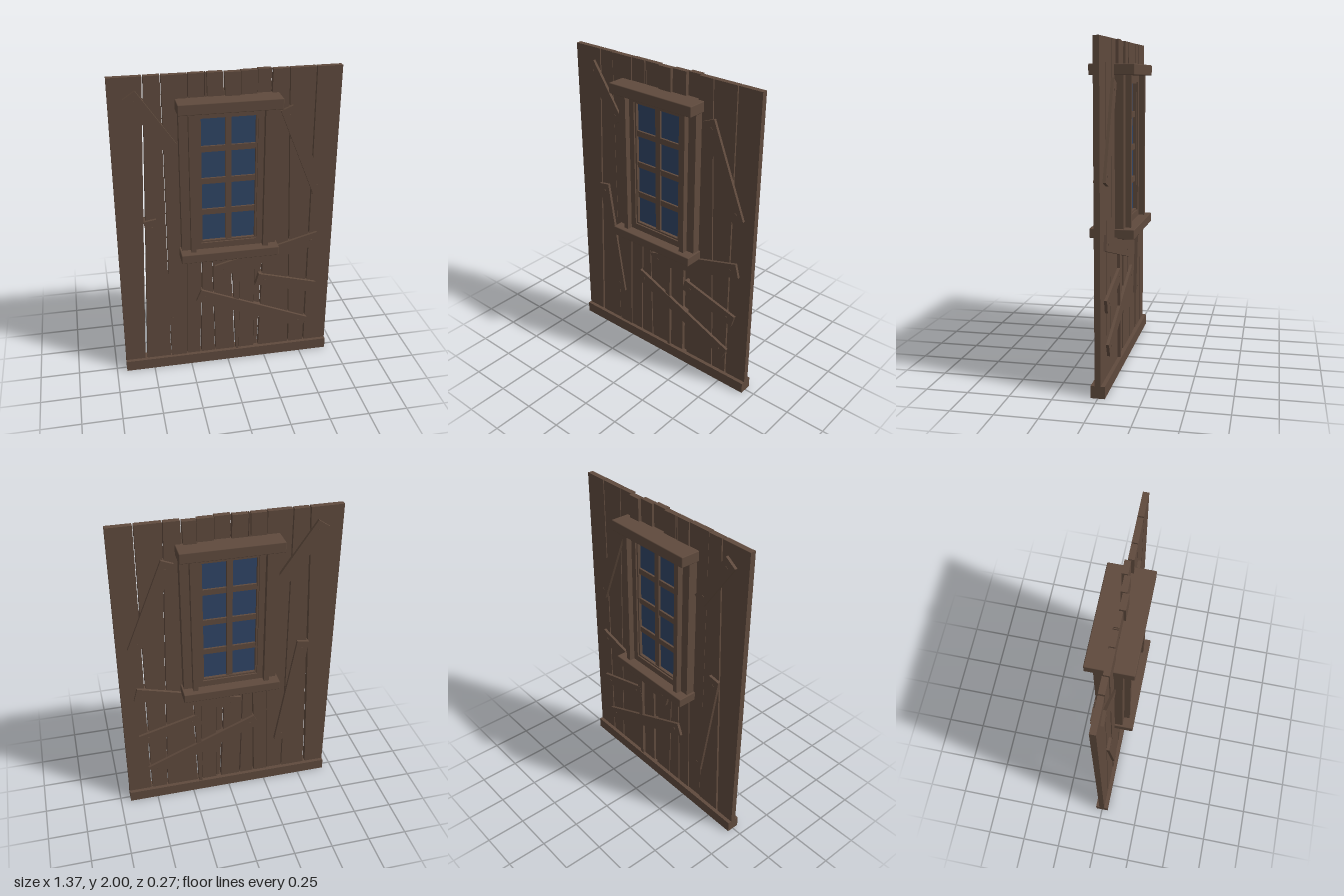
import * as THREE from 'three';
import { RoundedBoxGeometry } from 'three/addons/geometries/RoundedBoxGeometry.js';

export function createModel() {
  const root = new THREE.Group();
  root.name = 'boardedWallWithWindow';
  const wood = new THREE.MeshStandardMaterial({ color: 0x5f4a3d });
  wood.name = 'dark wood';
  const glass = new THREE.MeshStandardMaterial({ color: 0x2f4566 });
  glass.name = 'blue glass';

  const add = (name, geometry, material = wood, parent = root) => {
    const mesh = new THREE.Mesh(geometry, material);
    mesh.name = name;
    parent.add(mesh);
    return mesh;
  };
  // box given by its x and y ranges and its half depth
  const slab = (name, x0, x1, y0, y1, halfZ, material = wood, bevel = 0) => {
    const w = x1 - x0, h = y1 - y0, d = halfZ * 2;
    const g = bevel ? new RoundedBoxGeometry(w, h, d, 1, bevel) : new THREE.BoxGeometry(w, h, d);
    add(name, g, material).position.set((x0 + x1) / 2, (y0 + y1) / 2, 0);
  };

  // seams between wall planks: [x at bottom, x at top, gap at bottom, gap at top]
  const seams = [
    [-0.685, -0.685, 0, 0],
    [-0.553, -0.482, 0.016, 0.008],
    [-0.382, -0.382, 0.006, 0.006],
    [-0.277, -0.228, 0.004, 0.006],
    [-0.183, -0.13, 0.009, 0.005],
    [-0.081, -0.12, 0.008, 0.004],
    [0.056, -0.022, 0.009, 0.007],
    [0.079, 0.079, 0.005, 0.005],
    [0.181, 0.181, 0.006, 0.006],
    [0.209, 0.268, 0.008, 0.006],
    [0.427, 0.368, 0.008, 0.006],
    [0.533, 0.53, 0.01, 0.007],
    [0.685, 0.685, 0, 0],
  ];
  const offsets = [0, 0, 0.004, 0, 0, 0, 0.012, 0, -0.016, 0, 0, 0];
  const depth = 0.035;
  offsets.forEach((z, i) => {
    const a = seams[i], b = seams[i + 1];
    const shape = new THREE.Shape([
      new THREE.Vector2(a[0] + a[2] / 2, 0.01),
      new THREE.Vector2(b[0] - b[2] / 2, 0.01),
      new THREE.Vector2(b[1] - b[3] / 2, 2),
      new THREE.Vector2(a[1] + a[3] / 2, 2),
    ]);
    const g = new THREE.ExtrudeGeometry(shape, { depth, bevelEnabled: false });
    add('wallPlank', g).position.z = z - depth / 2;
  });

  // skirting beam along the floor
  slab('baseBeam', -0.685, 0.685, 0, 0.072, 0.041);

  // crooked boards nailed across both faces: [x0, y0, x1, y1, width]
  const boards = [
    [-0.565, 1.9, -0.34, 1.57, 0.085],
    [0.355, 1.765, 0.582, 1.2, 0.08],
    [-0.07, 0.695, 0.594, 0.875, 0.092],
    [0.195, 0.61, 0.582, 0.503, 0.08],
    [-0.19, 0.53, 0.53, 0.228, 0.085],
    [-0.483, 1.105, -0.358, 0.33, 0.078],
  ];
  for (const [x0, y0, x1, y1, width] of boards) {
    const board = new THREE.Group();
    board.name = 'repairBoard';
    const length = Math.hypot(x1 - x0, y1 - y0);
    board.position.set((x0 + x1) / 2, (y0 + y1) / 2, 0);
    board.rotation.z = Math.atan2(y1 - y0, x1 - x0);
    add('board', new THREE.BoxGeometry(length, width, 0.07), wood, board);
    for (const end of [-1, 1]) {
      const nail = add('nail', new THREE.CylinderGeometry(0.009, 0.009, 0.075, 10), wood, board);
      nail.rotation.x = Math.PI / 2;
      nail.position.set(end * (length / 2 - 0.05), 0, 0);
    }
    root.add(board);
  }

  // lintel and sill
  slab('lintel', -0.307, 0.307, 1.795, 1.86, 0.136, wood, 0.005);
  slab('sill', -0.307, 0.307, 0.838, 0.897, 0.136, wood, 0.005);

  // stepped posts and casing sides
  for (const s of [-1, 1]) {
    const side = (name, inner, outer, halfZ) =>
      slab(name, Math.min(s * inner, s * outer), Math.max(s * inner, s * outer), 0.89, 1.8, halfZ);
    side('outerPost', 0.24, 0.295, 0.07);
    side('innerPost', 0.21, 0.242, 0.105);
    side('casingSide', 0.174, 0.212, 0.07);
  }
  slab('casingTop', -0.176, 0.176, 1.755, 1.8, 0.07);
  slab('casingBottom', -0.176, 0.176, 0.89, 0.937, 0.07);

  // sash with two columns and four rows of panes
  for (const s of [-1, 1]) slab('sashSide', s * 0.17 - 0.006, s * 0.17 + 0.006, 0.935, 1.757, 0.06);
  slab('sashTop', -0.17, 0.17, 1.745, 1.757, 0.06);
  slab('sashBottom', -0.17, 0.17, 0.935, 0.947, 0.06);
  slab('uprightBar', -0.018, 0.018, 0.94, 1.75, 0.055);
  for (const y of [1.143, 1.348, 1.553]) slab('crossBar', -0.168, 0.168, y - 0.018, y + 0.018, 0.053);
  slab('windowGlass', -0.17, 0.17, 0.94, 1.75, 0.04, glass);

  return root;
}
